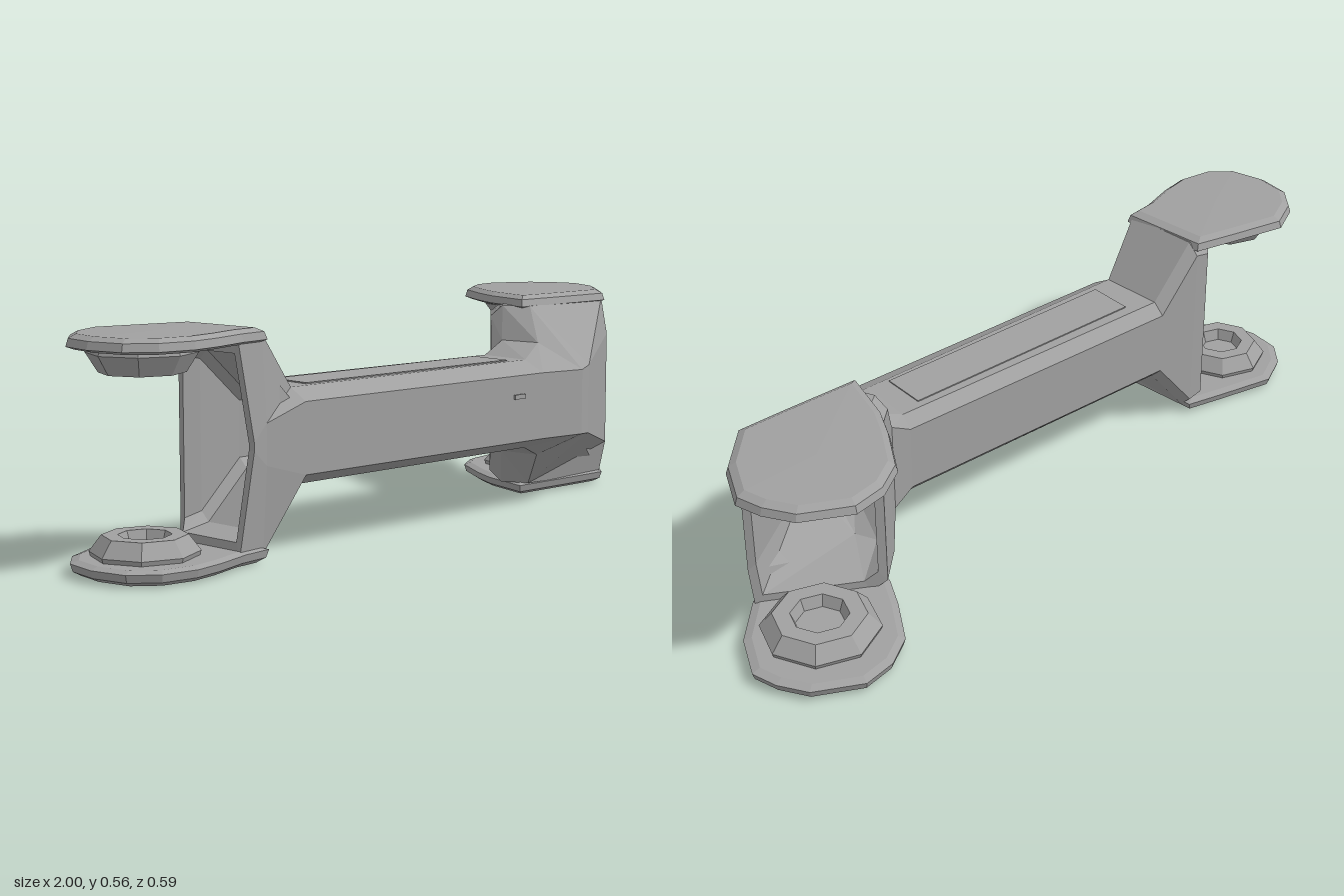
import * as THREE from 'three';

const HEIGHT = 0.555;

// Skins a list of equal-sized rings; wrap joins the last ring to the first
function loft(rings, wrap = false) {
  const n = rings[0].length, index = [];
  const rows = wrap ? rings.length : rings.length - 1;
  for (let i = 0; i < rows; i++) {
    const k = (i + 1) % rings.length;
    for (let j = 0; j < n; j++) {
      const m = (j + 1) % n;
      const a = i * n + j, b = i * n + m, c = k * n + j, d = k * n + m;
      index.push(a, c, d, a, d, b);
    }
  }
  const geo = new THREE.BufferGeometry();
  geo.setAttribute('position', new THREE.Float32BufferAttribute(rings.flat(2), 3));
  geo.setIndex(index);
  const flat = geo.toNonIndexed();
  flat.computeVertexNormals();
  return flat;
}

// Eight-sided section: front edge f, back edge b, front shoulder s (all x, z)
function section({ f, b, s, y, fy, flare = 0 }) {
  const [lo, hi] = y;
  const t = [b[0] + (f[0] - b[0]) * 0.12, b[1] + (f[1] - b[1]) * 0.12];
  return [
    [f[0], fy[0], f[1]], [f[0], fy[1], f[1]],
    [s[0] + flare, hi, s[1]], [t[0] + flare, hi, t[1]],
    [b[0], hi - 0.03, b[1]], [b[0], lo + 0.03, b[1]],
    [t[0] + flare, lo, t[1]], [s[0] + flare, lo, s[1]],
  ];
}

// Shrinks a section about its centre to give the inner wall
function inset(ring, k) {
  const c = [0, 1, 2].map(a => ring.reduce((sum, p) => sum + p[a], 0) / ring.length);
  return ring.map(p => p.map((v, a) => c[a] + (v - c[a]) * k));
}

// Bevelled lobe plate from an outline, listed top ring first
function plateRings(outline) {
  const cx = outline.reduce((s, p) => s + p[0], 0) / outline.length;
  const cz = outline.reduce((s, p) => s + p[1], 0) / outline.length;
  return [[0, 0.555], [0.88, 0.553], [0.97, 0.543], [1, 0.524], [0.9, 0.517], [0, 0.517]]
    .map(([k, y]) => outline.map(([x, z]) => [cx + (x - cx) * k, y, cz + (z - cz) * k]));
}

const flip = rings => rings.map(r => r.map(([x, y, z]) => [x, HEIGHT - y, z])).reverse();

export function createModel() {
  const group = new THREE.Group();
  const grey = new THREE.MeshStandardMaterial({ color: 0xa0a0a0, side: THREE.DoubleSide, flatShading: true });
  grey.name = 'grey';
  const add = (name, geo) => {
    const mesh = new THREE.Mesh(geo, grey);
    mesh.name = name;
    group.add(mesh);
    return mesh;
  };

  // Hollow beam that flares into a yoke at each end
  const outer = [
    { f: [-0.625, 0.2], b: [-0.625, -0.055], s: [-0.625, 0.185], y: [0.025, 0.53], fy: [0.27, 0.29], flare: -0.035 },
    { f: [-0.58, 0.195], b: [-0.58, -0.055], s: [-0.58, 0.18], y: [0.02, 0.54], fy: [0.23, 0.33] },
    { f: [-0.46, 0.205], b: [-0.46, -0.045], s: [-0.46, 0.155], y: [0.165, 0.4], fy: [0.195, 0.37] },
    { f: [0.36, 0.275], b: [0.38, 0.035], s: [0.36, 0.215], y: [0.165, 0.4], fy: [0.195, 0.37] },
    { f: [0.51, 0.292], b: [0.44, 0.035], s: [0.46, 0.18], y: [0.13, 0.435], fy: [0.193, 0.367] },
    { f: [0.57, 0.27], b: [0.48, 0.0], s: [0.52, 0.105], y: [0.035, 0.525], fy: [0.187, 0.373] },
    { f: [0.83, 0.14], b: [0.56, -0.065], s: [0.835, 0.115], y: [0.025, 0.53], fy: [0.12, 0.43] },
  ].map(section);
  const inner = outer.map((r, i) => inset(r, i === 0 || i === 6 ? 0.87 : 0.8)).reverse();
  add('hollowBeam', loft([...outer, ...inner], true));

  // Lobe plates above and below each yoke
  const leftOutline = [
    [-0.58, -0.055], [-0.68, -0.085], [-0.84, -0.13], [-0.93, -0.09], [-0.985, -0.03], [-1, 0.06],
    [-0.98, 0.155], [-0.92, 0.21], [-0.83, 0.23], [-0.75, 0.22], [-0.65, 0.195], [-0.57, 0.19],
  ];
  const rightOutline = [
    [0.49, 0.1], [0.54, -0.05], [0.585, -0.13], [0.66, -0.24], [0.74, -0.285], [0.83, -0.295],
    [0.945, -0.225], [0.985, -0.15], [1, -0.08], [0.94, 0.03], [0.83, 0.13], [0.7, 0.12],
  ].reverse();

  const ends = [
    { side: 'right', outline: leftOutline, x: -0.83, z: 0.05, r: 0.125 },
    { side: 'left', outline: rightOutline, x: 0.785, z: -0.075, r: 0.145 },
  ];
  for (const { side, outline, x, z, r } of ends) {
    const rings = plateRings(outline);
    add(side + 'UpperPlate', loft(rings));
    add(side + 'LowerPlate', loft(flip(rings)));

    // Recessed joint pads on the inner faces of the plates
    for (const upper of [true, false]) {
      const h = upper ? 0.058 : 0.05;
      const profile = [[0, 0], [r, 0], [r * 1.03, 0.012], [r * 0.8, h], [r * 0.5, h], [r * 0.42, h * 0.4], [0, h * 0.4]]
        .map(p => new THREE.Vector2(...p));
      const pad = add(side + (upper ? 'UpperPad' : 'LowerPad'), new THREE.LatheGeometry(profile, 8));
      pad.position.set(x, upper ? 0.518 : 0.037, z);
      pad.rotation.x = upper ? Math.PI : 0;
    }
  }

  // Thin access panel along the top of the beam
  const panel = add('topPanel', new THREE.BoxGeometry(0.7, 0.006, 0.12));
  panel.position.set(-0.04, 0.4, 0.11);
  panel.rotation.y = -0.082;

  // Small catch on the front face
  const latch = add('frontCatch', new THREE.BoxGeometry(0.04, 0.012, 0.008));
  latch.position.set(0.27, 0.315, 0.268);
  latch.rotation.y = -0.085;

  return group;
}
